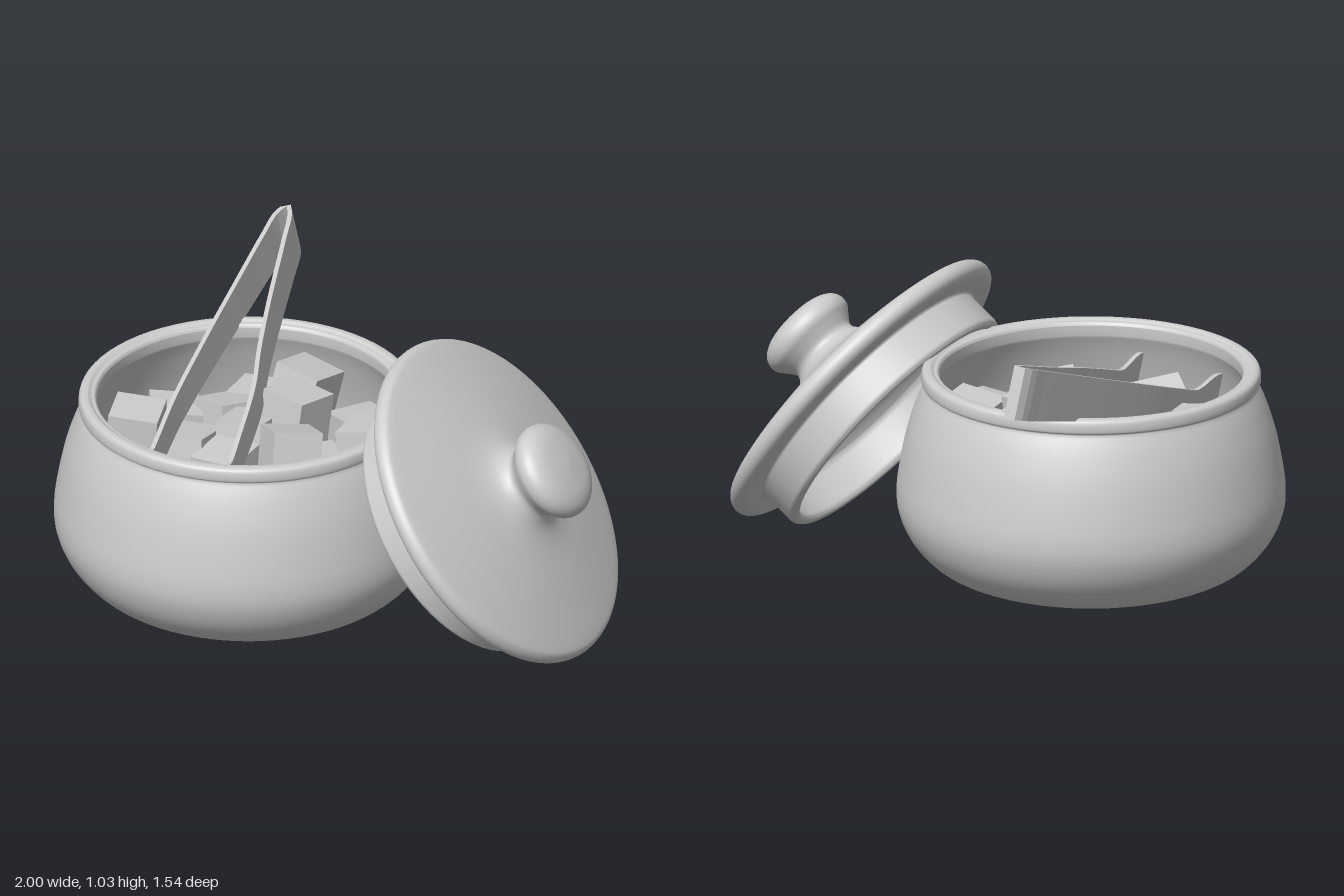
import * as THREE from 'three';

const ceramic = new THREE.MeshStandardMaterial({ color: 0xcccccc });
ceramic.name = 'light grey';

const BOWL = { x: -0.32, z: 0.08 };

function add(parent, geometry, name) {
  const mesh = new THREE.Mesh(geometry, ceramic);
  mesh.name = name;
  parent.add(mesh);
  return mesh;
}

// smooth run of profile points
function smooth(points, n) {
  return new THREE.SplineCurve(points.map(p => new THREE.Vector2(...p))).getPoints(n);
}

// profile made of several smooth runs, revolved around y
function turned(...runs) {
  const pts = runs.flatMap(r => smooth(r, r.length === 2 ? 1 : r.length * 4));
  return new THREE.LatheGeometry(pts, 72);
}

// seeded random numbers from -1 to 1
function seeded(seed) {
  return () => {
    seed = (seed * 16807) % 2147483647;
    return (seed / 2147483647) * 2 - 1;
  };
}

// flat springy strip bent in a narrow V, wide at the bend, with flared tips
function tongsGeometry() {
  const plan = [
    [-0.45, 0.59], [-0.50, 0.40], [-0.56, 0.19], [-0.62, -0.10], [-0.665, -0.35], [-0.705, -0.58],
    [-0.718, -0.68], [-0.70, -0.72], [-0.67, -0.69],
    [-0.62, -0.58], [-0.505, -0.32], [-0.41, -0.12], [-0.32, 0.05], [-0.23, 0.28], [-0.14, 0.52]
  ];
  const path = new THREE.CatmullRomCurve3(
    plan.map(([x, z]) => new THREE.Vector3(x, 1.03 - 0.36 * (z + 0.72), z)), false, 'centripetal');
  const steps = 90, thick = 0.008;
  const down = new THREE.Vector3(0, -0.95, -0.3);
  const rings = [];
  for (let i = 0; i <= steps; i++) {
    const t = i / steps, d = Math.abs(t - 0.5) * 2;
    const top = path.getPointAt(t);
    const side = new THREE.Vector3().crossVectors(path.getTangentAt(t), down).normalize().multiplyScalar(thick);
    const bottom = top.clone().addScaledVector(down, 0.19 - 0.1 * d);
    top.addScaledVector(down, -0.07 * THREE.MathUtils.smoothstep(d, 0.87, 1));
    rings.push([
      top.clone().add(side), top.clone().sub(side),
      bottom.clone().sub(side), bottom.clone().add(side)
    ]);
  }
  const pos = [];
  const quad = (a, b, c, d) => [a, b, c, a, c, d].forEach(p => pos.push(p.x, p.y, p.z));
  for (let i = 0; i < steps; i++) {
    for (let k = 0; k < 4; k++) {
      const m = (k + 1) % 4;
      quad(rings[i][k], rings[i][m], rings[i + 1][m], rings[i + 1][k]);
    }
  }
  quad(...[...rings[0]].reverse());
  quad(...rings[steps]);
  const g = new THREE.BufferGeometry();
  g.setAttribute('position', new THREE.Float32BufferAttribute(pos, 3));
  // keep the strip facing outwards
  const [a, b, c] = [rings[0][0], rings[0][1], rings[1][1]];
  const n = b.clone().sub(a).cross(c.clone().sub(a));
  if (n.dot(down) > 0) {
    for (let i = 0; i < pos.length; i += 9) {
      for (let k = 0; k < 3; k++) [pos[i + 3 + k], pos[i + 6 + k]] = [pos[i + 6 + k], pos[i + 3 + k]];
    }
    g.setAttribute('position', new THREE.Float32BufferAttribute(pos, 3));
  }
  g.computeVertexNormals();
  return g;
}

export function createModel() {
  const model = new THREE.Group();
  model.name = 'sugarBowlSet';

  // round-bellied bowl with recessed foot and beaded rim
  const bowl = add(model, turned(
    [[0, 0.045], [0.2, 0.042], [0.31, 0.03], [0.36, 0.008], [0.41, 0.003], [0.48, 0.018], [0.56, 0.06], [0.63, 0.135],
      [0.67, 0.22], [0.68, 0.3], [0.668, 0.4], [0.643, 0.52], [0.61, 0.62], [0.58, 0.685]],
    [[0.582, 0.69], [0.592, 0.696], [0.594, 0.715], [0.59, 0.735], [0.578, 0.744], [0.56, 0.745]],
    [[0.55, 0.738], [0.537, 0.736], [0.53, 0.725]],
    [[0.53, 0.69], [0.56, 0.62], [0.6, 0.5], [0.63, 0.38], [0.635, 0.28], [0.6, 0.17], [0.5, 0.09], [0.3, 0.075], [0, 0.075]]
  ), 'bowl');
  bowl.position.set(BOWL.x, 0, BOWL.z);

  // lid with locating flange, rounded edge and knob, leaning on the bowl
  const lid = add(model, turned(
    [[0, 0.075], [0.2, 0.06], [0.38, 0.0], [0.445, -0.04]],
    [[0.455, -0.06], [0.455, -0.17]],
    [[0.458, -0.18], [0.468, -0.192], [0.485, -0.192], [0.497, -0.18]],
    [[0.5, -0.17], [0.5, -0.055]],
    [[0.505, -0.045], [0.57, -0.047], [0.602, -0.033], [0.612, -0.008], [0.602, 0.018], [0.575, 0.032],
      [0.48, 0.056], [0.36, 0.083], [0.24, 0.107], [0.17, 0.13], [0.135, 0.16], [0.13, 0.185],
      [0.15, 0.215], [0.172, 0.245], [0.173, 0.28], [0.15, 0.31], [0.1, 0.33], [0, 0.34]]
  ), 'lid');
  lid.position.set(0.61, 0.515, -0.1);
  lid.quaternion.setFromUnitVectors(
    new THREE.Vector3(0, 1, 0), new THREE.Vector3(0.785, 0.6, -0.155).normalize());

  add(model, tongsGeometry(), 'tongs');

  // sugar cubes: upper ones placed by x, y, z, turn
  const cubes = new THREE.Group();
  cubes.name = 'sugarCubes';
  model.add(cubes);
  const rnd = seeded(77);
  const cubeGeometry = new THREE.BoxGeometry(0.175, 0.175, 0.175);
  const placeCube = (x, y, z, turn, tilt) => {
    const c = add(cubes, cubeGeometry, 'sugarCube');
    c.position.set(x, y, z);
    c.rotation.set(rnd() * tilt, turn, rnd() * tilt, 'XYZ');
  };
  [
    [-0.34, 0.59, -0.30, 0], [-0.25, 0.60, -0.11, -0.1], [-0.13, 0.57, 0.10, -0.7], [-0.70, 0.55, 0.22, 0.4],
    [0.03, 0.53, -0.16, 0.25], [-0.13, 0.45, -0.34, -0.5], [0.12, 0.47, 0.04, 0.3], [-0.37, 0.51, 0.0, 0.15],
    [-0.35, 0.46, 0.17, 0.05], [-0.72, 0.45, -0.04, 0.7], [-0.55, 0.47, -0.13, -0.35], [-0.54, 0.45, -0.31, 0.2],
    [0.02, 0.48, 0.32, -0.3], [-0.53, 0.46, 0.40, 0.25], [-0.31, 0.49, 0.46, -0.6], [-0.53, 0.47, 0.14, 0.15],
    [0.07, 0.42, 0.19, 0.6], [-0.18, 0.42, 0.29, 0.3]
  ].forEach(([x, y, z, turn]) => placeCube(x, y, z, turn, 0.2));

  // lower layers filling the bowl
  for (let i = 0; i < 40; i++) {
    const k = i % 20, r = 0.46 * Math.sqrt((k + 0.5) / 20), a = k * 2.4 + (i > 19 ? 1 : 0);
    placeCube(BOWL.x + r * Math.cos(a), i > 19 ? 0.35 : 0.2, BOWL.z + r * Math.sin(a), rnd() * 1.5, 0.15);
  }
  return model;
}
